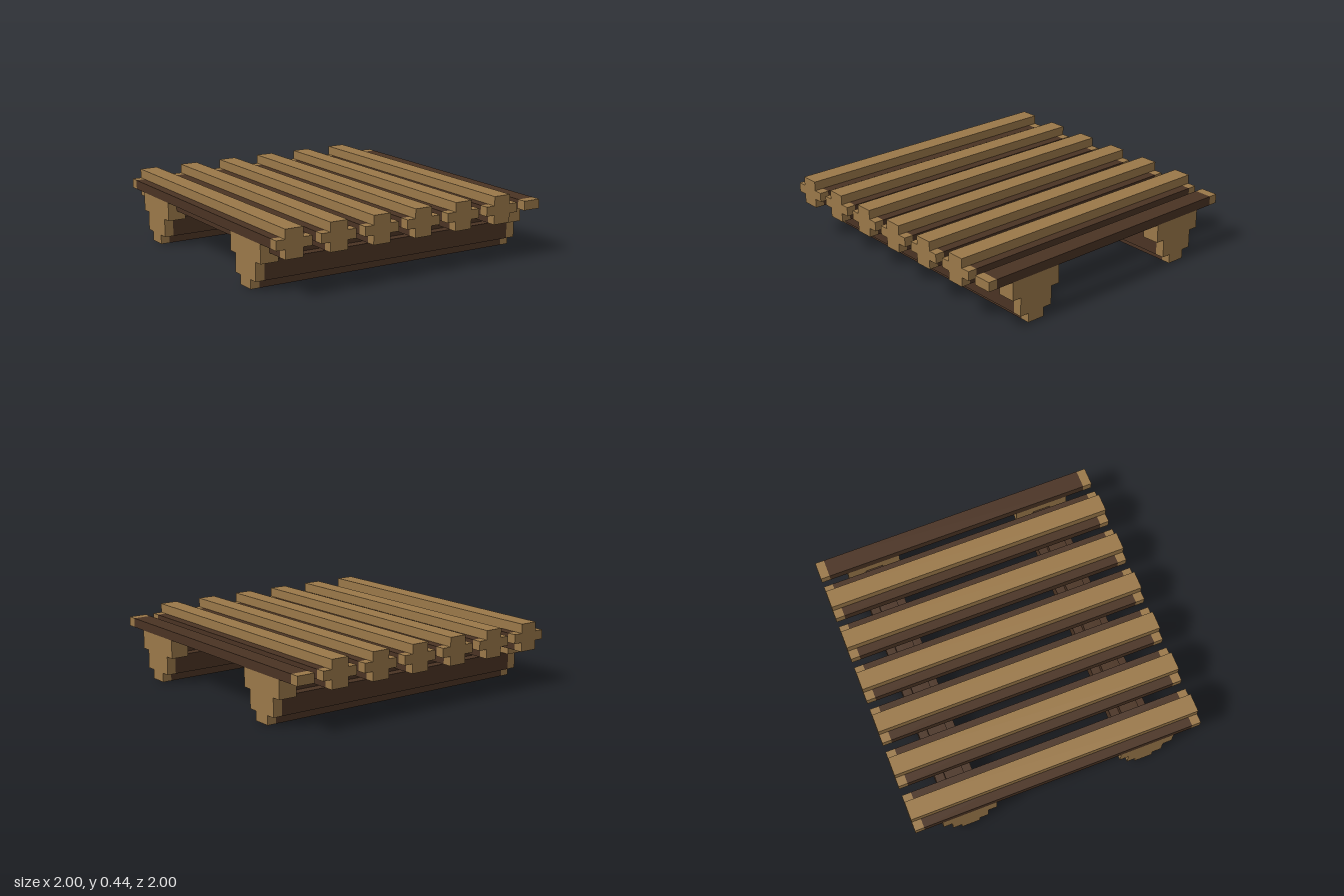
import * as THREE from 'three';

const U = 1 / 16; // one block of the grid
const lightWood = new THREE.MeshStandardMaterial({ color: 0x9a7849 });
lightWood.name = 'light wood';
const darkWood = new THREE.MeshStandardMaterial({ color: 0x4a3323 });
darkWood.name = 'dark wood';

// Box from its lower to its upper corner, in blocks
function box(name, material, [x0, y0, z0], [x1, y1, z1]) {
  const geometry = new THREE.BoxGeometry((x1 - x0) * U, (y1 - y0) * U, (z1 - z0) * U);
  const mesh = new THREE.Mesh(geometry, material);
  mesh.name = name;
  mesh.position.set((x0 + x1) * U / 2, (y0 + y1) * U / 2, (z0 + z1) * U / 2);
  return mesh;
}

// Profile mirrored about its vertical axis, extruded from a to b along z (or x)
function bar(name, material, half, a, b, alongX = false) {
  const left = half.map(([x, y]) => [-x, y]).reverse();
  const shape = new THREE.Shape([...half, ...left].map(([x, y]) => new THREE.Vector2(x * U, y * U)));
  const geometry = new THREE.ExtrudeGeometry(shape, { depth: (b - a) * U, bevelEnabled: false });
  geometry.translate(0, 0, a * U);
  if (alongX) geometry.rotateY(Math.PI / 2);
  const mesh = new THREE.Mesh(geometry, material);
  mesh.name = name;
  return mesh;
}

// Slat: dark winged body, pale ends and a pale top strip
function createSlat() {
  const slat = new THREE.Group();
  slat.name = 'slat';
  const half = [[1, 4], [1, 5], [2, 5], [2, 6]];
  slat.add(
    bar('slatBody', darkWood, half, -15, 15),
    bar('slatFrontEnd', lightWood, half, 15, 16),
    bar('slatBackEnd', lightWood, half, -16, -15),
    box('slatTop', lightWood, [-1, 6, -16], [1, 7, 16]),
  );
  return slat;
}

// Flat half slat along the left edge
function createEdgeSlat() {
  const slat = new THREE.Group();
  slat.name = 'edgeSlat';
  slat.add(
    box('edgeSlatBody', darkWood, [14, 5, -15], [16, 6, 15]),
    box('edgeSlatFrontEnd', lightWood, [14, 5, 15], [16, 6, 16]),
    box('edgeSlatBackEnd', lightWood, [14, 5, -16], [16, 6, -15]),
  );
  return slat;
}

// Bearer: stepped beam with pale ends and a wide head block at each end
function createBearer() {
  const bearer = new THREE.Group();
  bearer.name = 'bearer';
  const beam = [[1, 0], [1, 1], [2, 1], [2, 3], [1, 3], [1, 4]];
  const foot = beam.slice(0, 4);
  bearer.add(
    bar('bearerBeam', darkWood, beam, -15, 15, true),
    bar('leftFoot', lightWood, foot, 15, 16, true),
    bar('rightFoot', lightWood, foot, -16, -15, true),
    box('leftHead', lightWood, [14, 3, -3], [16, 5, 3]),
    box('rightHead', lightWood, [-16, 3, -3], [-14, 5, 3]),
  );
  return bearer;
}

export function createModel() {
  const model = new THREE.Group();
  model.name = 'slattedPlatform';

  for (let i = 0; i < 6; i++) {
    const slat = createSlat();
    slat.position.x = (-14 + 5 * i) * U;
    model.add(slat);
  }
  model.add(createEdgeSlat());

  for (const side of [-1, 1]) {
    const bearer = createBearer();
    bearer.position.z = side * 10 * U;
    model.add(bearer);
  }
  return model;
}
